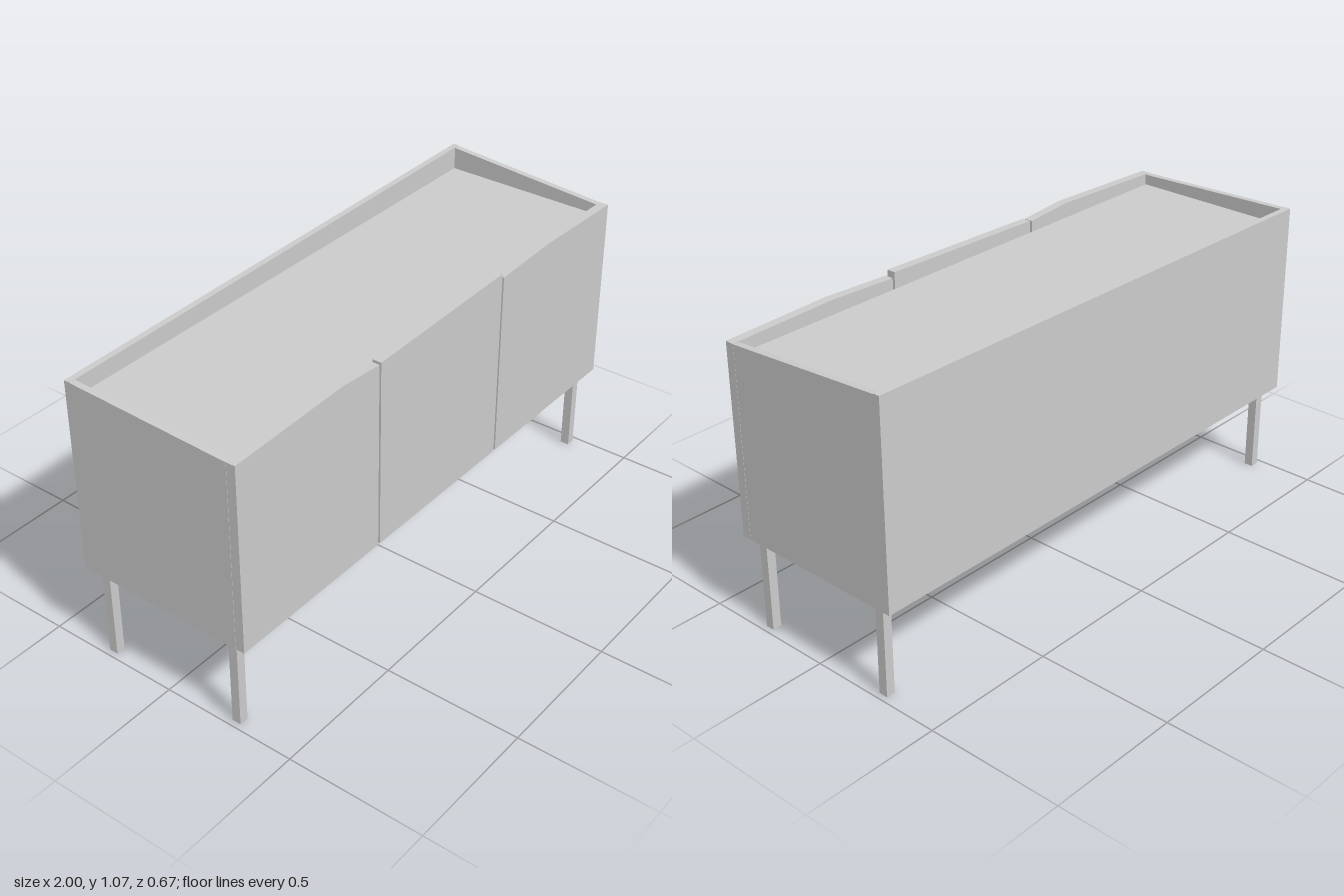
import * as THREE from 'three';

const material = new THREE.MeshStandardMaterial({ color: 0xcccccc, flatShading: true });
const BASE = 0.336;

// Flat panel from an outline (with optional hole), extruded along +z
function panel(name, points, depth, hole) {
  const shape = new THREE.Shape(points.map(p => new THREE.Vector2(...p)));
  if (hole) shape.holes.push(new THREE.Path(hole.map(p => new THREE.Vector2(...p))));
  const geometry = new THREE.ExtrudeGeometry(shape, { depth, bevelEnabled: false });
  const mesh = new THREE.Mesh(geometry, material);
  mesh.name = name;
  return mesh;
}

// Upright board whose top edge follows the given points, left to right
function board(name, top, depth) {
  const first = top[0][0], last = top[top.length - 1][0];
  return panel(name, [[first, BASE], [last, BASE], ...top.slice().reverse()], depth);
}

function square(r) {
  return [[-r, -r], [r, -r], [r, r], [-r, r]];
}

export function createModel() {
  const model = new THREE.Group();
  model.name = 'sideboard';
  const wall = 0.023;

  // Back wall, its top edge rising towards the left
  const back = board('backWall', [[-1, 1.045], [1, 1.07]], wall);
  back.position.z = -0.334;
  model.add(back);

  // Side walls, their top edges rising towards the back
  for (const [name, x, rear] of [['rightWall', -1, 1.044], ['leftWall', 1 - wall, 1.068]]) {
    const side = board(name, [[-0.3, 1.024], [0.311, rear]], wall);
    side.rotation.y = Math.PI / 2;
    side.position.x = x;
    model.add(side);
  }

  // Doors with uneven top edges, separated by narrow gaps
  const doors = [
    ['rightDoor', [[-1, 1.025], [-0.52, 1.04], [-0.338, 1.025]]],
    ['middleDoor', [[-0.329, 1.028], [0.329, 1.043]]],
    ['leftDoor', [[0.338, 1.025], [0.6, 1.036], [1, 1.025]]],
  ];
  for (const [name, top] of doors) {
    const door = board(name, top, 0.033);
    door.position.z = 0.301;
    model.add(door);
  }

  // Recessed top and floor panels
  for (const [name, y] of [['topPanel', 0.971], ['floorPanel', 0.376]]) {
    const shelf = new THREE.Mesh(new THREE.BoxGeometry(1.954, 0.03, 0.609), material);
    shelf.name = name;
    shelf.position.set(0, y, -0.0065);
    model.add(shelf);
  }

  // Square tube legs reaching up to the floor panel
  for (const x of [-0.962, 0.962]) {
    for (const z of [-0.267, 0.267]) {
      const leg = panel('leg', square(0.0165), 0.361, square(0.0135));
      leg.rotation.x = -Math.PI / 2;
      leg.position.set(x, 0, z);
      model.add(leg);
    }
  }
  return model;
}
